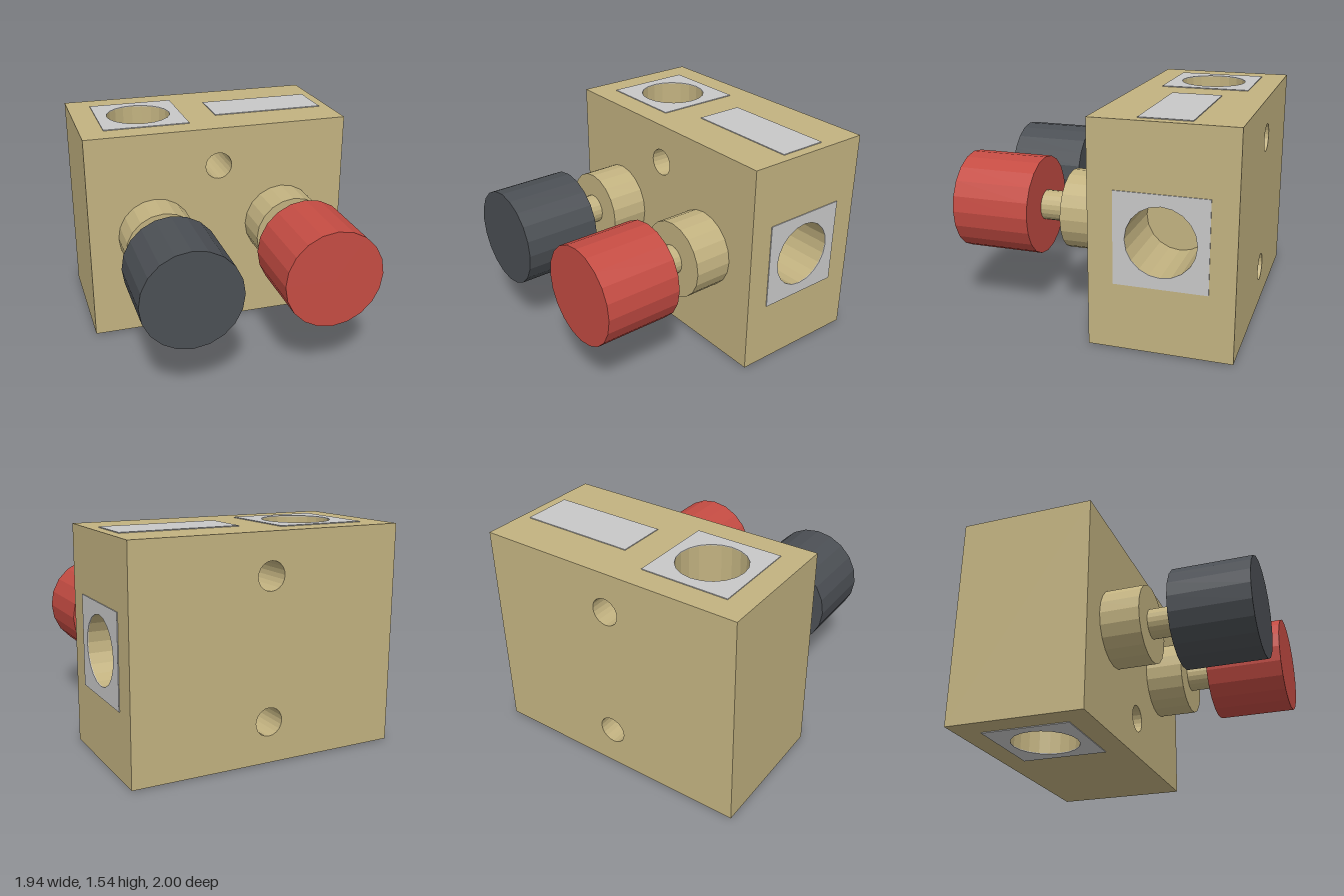
import * as THREE from 'three';

const SIDES = 20;
const W = 1.93, H = 1.524, D = 0.965;      // block size
const PORT_R = 0.235, BOLT_R = 0.097, PLATE = 0.006;

const mat = (name, color) => new THREE.MeshStandardMaterial({ name, color });

// Faceted normals
function facet(geometry) {
  const g = geometry.index ? geometry.toNonIndexed() : geometry;
  g.computeVertexNormals();
  return g;
}

function mesh(name, geometry, material, parent) {
  const m = new THREE.Mesh(geometry, material);
  m.name = name;
  parent.add(m);
  return m;
}

// Rectangle centred on the origin with round holes given as [x, y, radius]
function plateShape(w, h, holes = []) {
  const s = new THREE.Shape([[-1, -1], [1, -1], [1, 1], [-1, 1]]
    .map(([x, y]) => new THREE.Vector2(x * w / 2, y * h / 2)));
  for (const [x, y, r] of holes) {
    const pts = [];
    for (let i = 0; i < SIDES; i++) {
      const a = i / SIDES * Math.PI * 2;
      pts.push(new THREE.Vector2(x + r * Math.cos(a), y + r * Math.sin(a)));
    }
    s.holes.push(new THREE.Path(pts));
  }
  return s;
}

// Inward-facing bore that runs from z = 0 back to z = -depth
function bore(r, depth, closed) {
  const pts = [new THREE.Vector2(r, 0), new THREE.Vector2(r, -depth)];
  if (closed) pts.push(new THREE.Vector2(0, -depth));
  return facet(new THREE.LatheGeometry(pts, SIDES).rotateX(Math.PI / 2));
}

export function createModel() {
  const brass = mat('brass', 0xc2b280);
  const silver = mat('silver', 0xc8c8c8);
  const red = mat('red', 0xc54c43);
  const black = mat('charcoal', 0x4b4f54);

  const model = new THREE.Group();
  model.name = 'valveBlock';
  const body = new THREE.Group();
  body.name = 'body';
  body.position.set(-0.005, 0.768, -0.5175);
  model.add(body);

  // A side of the block; its local +z points outwards
  function side(name, w, h, dist, rx, ry, holes) {
    const g = new THREE.Group();
    g.name = name;
    g.rotation.set(rx, ry, 0);
    body.add(g);
    const inner = new THREE.Group();
    inner.name = name + 'Surface';
    inner.position.z = dist;
    g.add(inner);
    mesh(name + 'Panel', new THREE.ShapeGeometry(plateShape(w, h, holes)), brass, inner);
    return inner;
  }

  // Square plate around a blind round port
  function port(parent, x, y) {
    const plate = mesh('portPlate', new THREE.ExtrudeGeometry(
      plateShape(0.625, 0.625, [[0, 0, PORT_R]]), { depth: PLATE, bevelEnabled: false }), silver, parent);
    plate.position.set(x, y, 0);
    mesh('portBore', bore(PORT_R, 0.5, true), brass, parent).position.set(x, y, 0);
  }

  const q = Math.PI / 2;
  const bolts = [[0, 0.48, BOLT_R], [0, -0.48, BOLT_R]];
  const portX = -0.4825;

  const front = side('front', W, H, D / 2, 0, 0, bolts);
  side('back', W, H, D / 2, 0, Math.PI, bolts);
  side('rightEnd', D, H, W / 2, 0, -q, []);
  const leftEnd = side('leftEnd', D, H, W / 2, 0, q, [[0, 0, PORT_R]]);
  const top = side('top', W, D, H / 2, -q, 0, [[portX, 0, PORT_R]]);
  const bottom = side('bottom', W, D, H / 2, q, 0, [[portX, 0, PORT_R]]);

  port(leftEnd, 0, 0);
  port(top, portX, 0);
  port(bottom, portX, 0);

  // Mounting holes right through the block
  for (const [x, y, r] of bolts) {
    mesh('mountingHole', bore(r, D, false), brass, front).position.set(x, y, 0);
  }

  // Blank label on top
  mesh('label', new THREE.BoxGeometry(0.83, 0.35, PLATE), silver, top)
    .position.set(0.48, 0, PLATE / 2);

  // Knobs: collar, stem and cap along +z
  function knob(name, x, capColor) {
    const g = new THREE.Group();
    g.name = name;
    g.position.x = x;
    front.add(g);
    const parts = [
      ['collar', 0.275, 0, 0.275, brass],
      ['stem', 0.105, 0.275, 0.485, brass],
      ['cap', 0.345, 0.485, 1.035, capColor],
    ];
    for (const [part, r, z0, z1, material] of parts) {
      const geo = facet(new THREE.CylinderGeometry(r, r, z1 - z0, SIDES).rotateX(q));
      mesh(part, geo, material, g).position.z = (z0 + z1) / 2;
    }
  }
  knob('blackKnob', -0.48, black);
  knob('redKnob', 0.48, red);

  return model;
}
